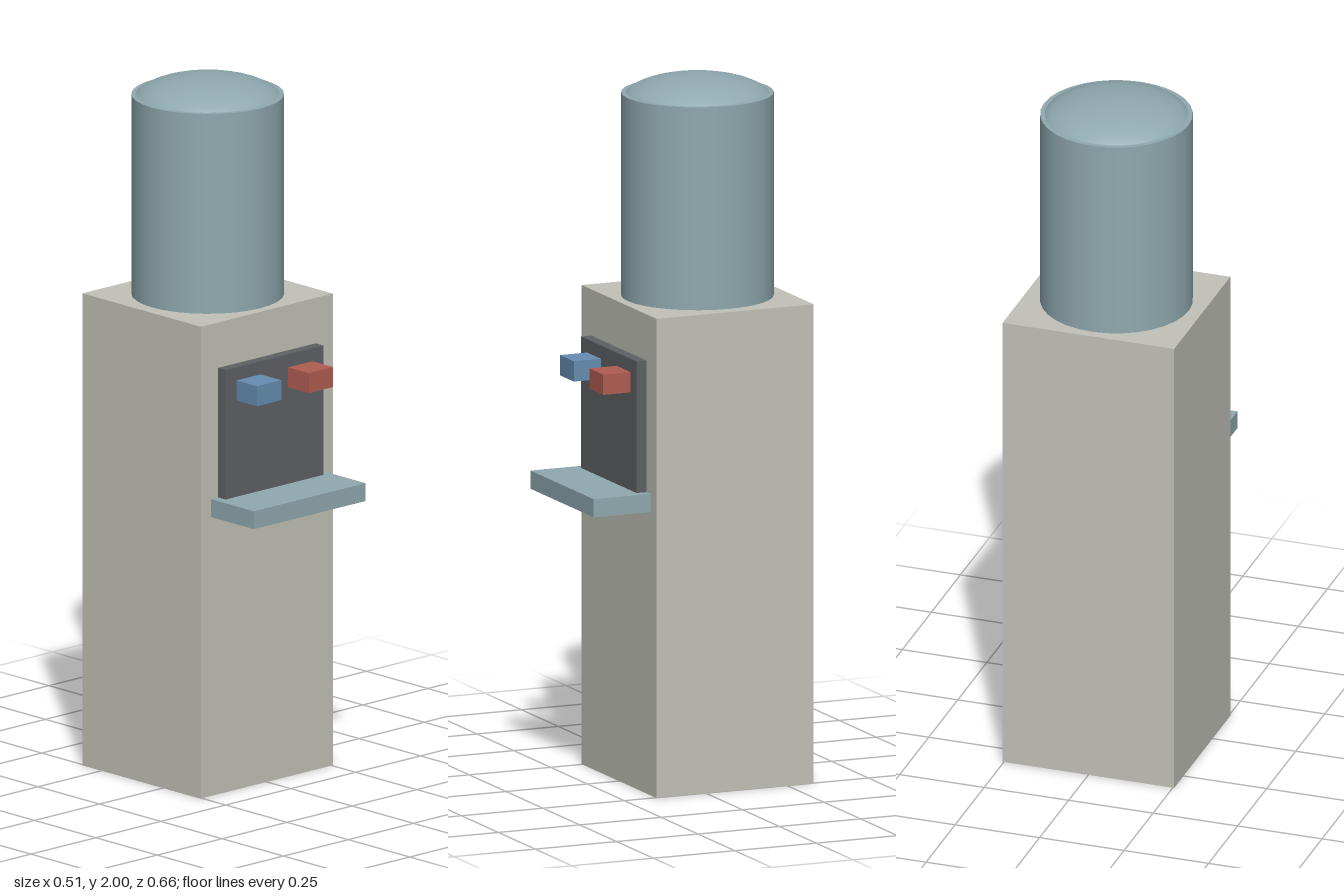
import * as THREE from 'three';

const material = (name, color) => {
  const m = new THREE.MeshStandardMaterial({ color });
  m.name = name;
  return m;
};

export function createModel() {
  const casing = material('warm grey casing', 0xc2c2b9);
  const aqua = material('bottle blue grey', 0x8fa9af);
  const dark = material('dark grey panel', 0x5e6164);
  const blue = material('cold blue', 0x668db0);
  const red = material('hot red', 0xb05d52);

  const group = new THREE.Group();
  group.name = 'waterDispenser';

  const add = (name, geometry, mat, x, y, z) => {
    const mesh = new THREE.Mesh(geometry, mat);
    mesh.name = name;
    mesh.position.set(x, y, z);
    group.add(mesh);
    return mesh;
  };
  // Box given by its centre x, width, and its y and z limits
  const box = (name, mat, x, width, y0, y1, z0, z1) =>
    add(name, new THREE.BoxGeometry(width, y1 - y0, z1 - z0), mat, x, (y0 + y1) / 2, (z0 + z1) / 2);

  // Cabinet with dispensing panel and drip tray
  box('cabinet', casing, 0, 0.508, 0, 1.37, -0.33, 0.153);
  box('dispensingPanel', dark, 0, 0.376, 0.85, 1.238, 0.14, 0.184);
  box('dripTray', aqua, 0, 0.43, 0.81, 0.862, 0.14, 0.328);

  // Cold and hot taps
  box('coldTap', blue, -0.1, 0.094, 1.142, 1.2, 0.175, 0.268);
  box('hotTap', red, 0.1, 0.094, 1.142, 1.2, 0.175, 0.268);

  // Water bottle with a flattened dome rising through its top
  add('bottle', new THREE.CylinderGeometry(0.214, 0.214, 0.588, 32), aqua, 0, 1.656, -0.088);
  const dome = new THREE.SphereGeometry(0.213, 32, 12, 0, Math.PI * 2, 0, Math.PI / 2);
  dome.scale(1, 0.35, 1);
  add('bottleDome', dome, aqua, 0, 1.9255, -0.088);

  return group;
}
